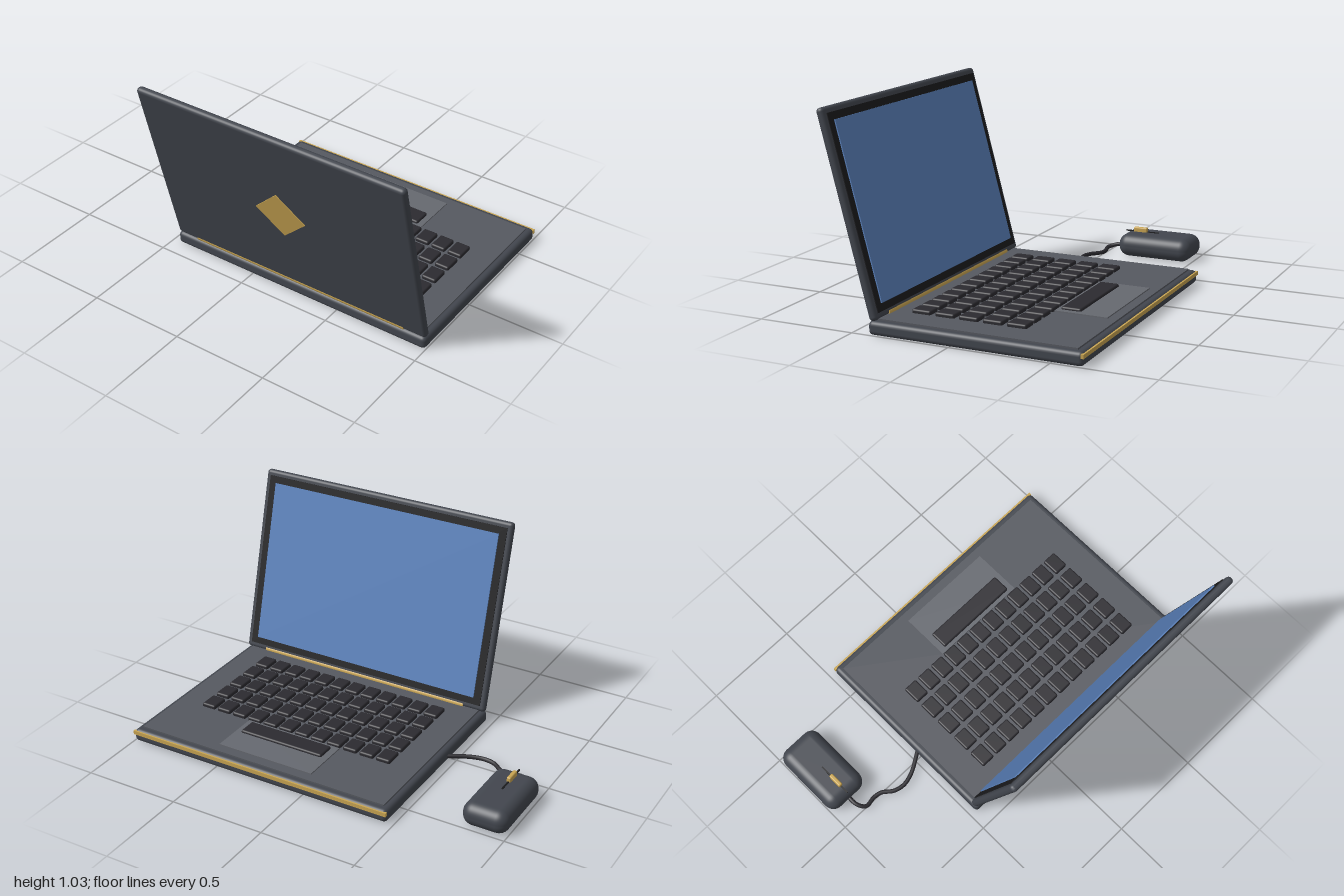
import * as THREE from 'three';
import { RoundedBoxGeometry } from 'three/addons/geometries/RoundedBoxGeometry.js';

const mat = (color) => new THREE.MeshStandardMaterial({ color });

export function createModel() {
  const shell = mat(0x42464e), deckGrey = mat(0x565960), padGrey = mat(0x666970);
  const black = mat(0x1c1c1e), keyBlack = mat(0x2c2b30), blue = mat(0x5b82bd), gold = mat(0xc9a552);
  const model = new THREE.Group();
  model.name = 'laptopWithMouse';

  const add = (parent, name, geometry, material, x, y, z) => {
    const mesh = new THREE.Mesh(geometry, material);
    mesh.name = name;
    mesh.position.set(x, y, z);
    parent.add(mesh);
    return mesh;
  };
  const box = (w, h, d) => new THREE.BoxGeometry(w, h, d);
  const rounded = (w, h, d, r, s = 3) => new RoundedBoxGeometry(w, h, d, s, r);
  const midZ = 0.267, width = 1.465;

  // Base with inset deck and gold front trim
  add(model, 'base', rounded(1.07, 0.067, width, 0.022), shell, 0.119, 0.0375, midZ);
  add(model, 'deck', box(1.01, 0.02, 1.4), deckGrey, 0.112, 0.069, midZ);
  add(model, 'frontTrim', box(0.014, 0.02, width), gold, 0.65, 0.054, midZ);

  // Trackpad and keyboard
  add(model, 'trackpad', box(0.265, 0.01, 0.535), padGrey, 0.4375, 0.08, 0.2625);
  const keyboard = new THREE.Group();
  keyboard.name = 'keyboard';
  model.add(keyboard);
  const keyShape = rounded(0.098, 0.03, 0.077, 0.009, 2);
  for (let col = 0; col < 5; col++) {
    for (let row = 0; row < 12; row++) {
      add(keyboard, 'key', keyShape, keyBlack, -0.235 + col * 0.122, 0.083, -0.247 + row * 0.094);
    }
  }
  add(keyboard, 'spaceBar', rounded(0.1, 0.03, 0.47, 0.009, 2), keyBlack, 0.375, 0.083, 0.265);

  // Hinge bar
  const hinge = add(model, 'hinge', new THREE.CylinderGeometry(0.022, 0.022, 1.22, 20), gold, -0.39, 0.08, midZ);
  hinge.rotation.x = Math.PI / 2;

  // Lid, tilted back about its centre; its local +x faces the keyboard
  const lid = new THREE.Group();
  lid.name = 'lid';
  lid.position.set(-0.517, 0.553, midZ);
  lid.rotation.z = THREE.MathUtils.degToRad(15);
  model.add(lid);
  add(lid, 'lidShell', rounded(0.04, 0.998, width, 0.018), shell, 0, 0, 0);
  add(lid, 'bezel', box(0.012, 0.937, 1.41), black, 0.018, 0, 0);
  add(lid, 'screen', box(0.012, 0.864, 1.33), blue, 0.024, 0, 0);
  const inlay = add(lid, 'backInlay', box(0.01, 0.197, 0.197), gold, -0.019, -0.007, 0);
  inlay.rotation.x = Math.PI / 4;

  // Mouse with button seam and scroll wheel
  const mouse = new THREE.Group();
  mouse.name = 'mouse';
  mouse.position.set(0.29, 0, -0.882);
  model.add(mouse);
  add(mouse, 'mouseBody', rounded(0.41, 0.122, 0.236, 0.056, 6), shell, 0, 0.065, 0);
  add(mouse, 'buttonSeam', box(0.19, 0.006, 0.008), black, -0.1, 0.127, 0);
  add(mouse, 'scrollWheel', rounded(0.078, 0.036, 0.022, 0.007), gold, -0.11, 0.133, 0);

  // Cable from the mouse to the side of the base
  const path = new THREE.CatmullRomCurve3([
    [0.11, 0.05, -0.884], [0.04, 0.04, -0.88], [0, 0.027, -0.85], [0.008, 0.02, -0.79],
    [0, 0.02, -0.745], [-0.04, 0.021, -0.69], [-0.052, 0.022, -0.634],
    [-0.035, 0.025, -0.565], [0.03, 0.032, -0.455],
  ].map((p) => new THREE.Vector3(...p)));
  add(model, 'cable', new THREE.TubeGeometry(path, 64, 0.011, 10), keyBlack, 0, 0, 0);

  return model;
}
